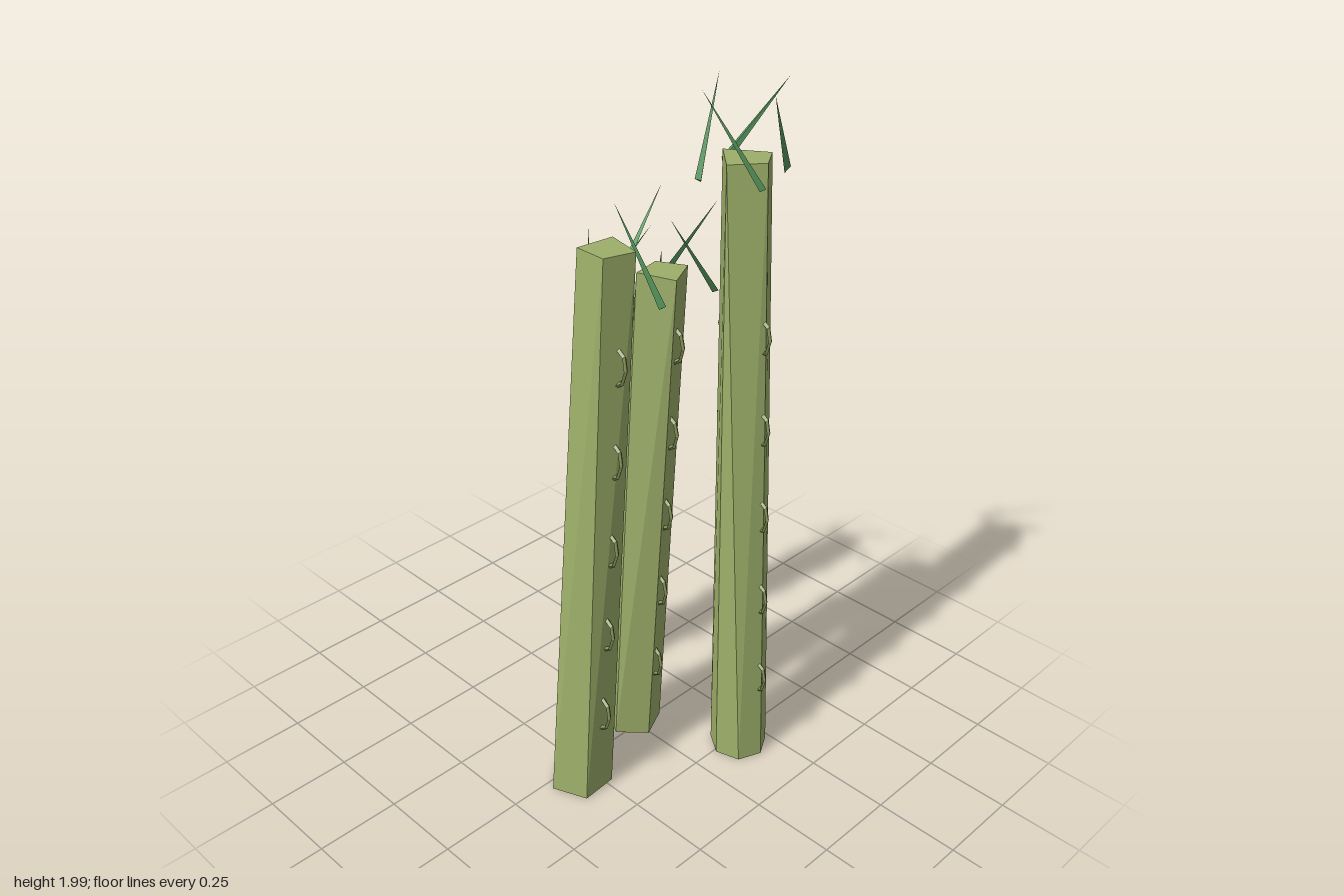
import * as THREE from 'three';
import { ConvexGeometry } from 'three/addons/geometries/ConvexGeometry.js';

const paint = (color) => new THREE.MeshStandardMaterial({ color, flatShading: true });
const stalkMat = paint(0x9cae69);
const budMat = paint(0x87965a);
const leafMat = paint(0x5a9a60);

// base: centre x, z, radius, sides, first angle in degrees; top: four x, z corners
// leaf: base and tip x, z relative to the crown centre
const STALKS = [
  { name: 'frontStalk', height: 1.63, buds: 5, base: [0.05, 0.288, 0.093, 5, 104],
    top: [[-0.02, 0.07], [0.095, 0.1], [0.07, 0.19], [-0.03, 0.185]] },
  { name: 'middleStalk', height: 1.53, buds: 5, base: [-0.03, -0.011, 0.086, 5, 155],
    top: [[0.08, -0.105], [0.13, -0.01], [0.02, 0.025], [0, -0.065]],
    crown: [0.063, -0.037], leaf: [0.097, -0.083, 0.099, 0.087] },
  { name: 'tallStalk', height: 1.8, buds: 5, base: [0.272, -0.165, 0.086, 7, -4],
    top: [[0.16, -0.33], [0.21, -0.255], [0.145, -0.17], [0.05, -0.26]],
    crown: [0.128, -0.255], leaf: [-0.113, -0.05, 0.037, -0.125] },
  { name: 'shortStalk', height: 1.31, buds: 4, base: [-0.28, -0.278, 0.083, 5, -100.6],
    top: [[-0.205, -0.24], [-0.165, -0.14], [-0.27, -0.125], [-0.288, -0.208]],
    crown: [-0.225, -0.172], leaf: [0, -0.128, 0.125, -0.02] },
];

// Leaning, tapering trunk from a many-sided base to a four-cornered top
function trunk({ base, top, height }) {
  const [cx, cz, r, sides, start] = base;
  const points = top.map(([x, z]) => new THREE.Vector3(x, height, z));
  for (let i = 0; i < sides; i++) {
    const a = THREE.MathUtils.degToRad(start) + (i / sides) * Math.PI * 2;
    points.push(new THREE.Vector3(cx + r * Math.cos(a), 0, cz + r * Math.sin(a)));
  }
  const mesh = new THREE.Mesh(new ConvexGeometry(points), stalkMat);
  mesh.name = 'trunk';
  return mesh;
}

// Thin pointed blade from a wide base to a tip
function blade(from, to) {
  const dir = to.clone().sub(from);
  const geometry = new THREE.ConeGeometry(0.015, dir.length(), 3);
  geometry.scale(1, 1, 0.5);
  const mesh = new THREE.Mesh(geometry, leafMat);
  mesh.quaternion.setFromUnitVectors(new THREE.Vector3(0, 1, 0), dir.normalize());
  mesh.position.copy(from).add(to).multiplyScalar(0.5);
  mesh.name = 'leaf';
  return mesh;
}

// Four blades circling the top
function crownLeaves({ crown, leaf, height }) {
  const group = new THREE.Group();
  group.name = 'crownLeaves';
  for (let i = 0; i < 4; i++) {
    const inner = blade(
      new THREE.Vector3(leaf[0], -0.05, leaf[1]),
      new THREE.Vector3(leaf[2], 0.19, leaf[3]));
    const turn = new THREE.Group();
    turn.rotation.y = (i * Math.PI) / 2;
    turn.add(inner);
    group.add(turn);
  }
  group.position.set(crown[0], height, crown[1]);
  return group;
}

// Rows of small looped buds on the left and right sides
function sideBuds({ base, top, height, buds }) {
  const group = new THREE.Group();
  group.name = 'sideBuds';
  const geometry = new THREE.TorusGeometry(0.045, 0.007, 4, 4, Math.PI);
  geometry.rotateZ(-Math.PI / 2);
  geometry.scale(0.7, 1.1, 1);
  const tx = top.reduce((s, p) => s + p[0], 0) / 4;
  const tz = top.reduce((s, p) => s + p[1], 0) / 4;
  for (let i = 0; i < buds; i++) {
    const y = 0.27 + i * 0.265;
    const f = y / height;
    for (const side of [-1, 1]) {
      const bud = new THREE.Mesh(geometry, budMat);
      const reach = THREE.MathUtils.lerp(base[2] * 0.82, 0.054, f);
      bud.position.set(
        THREE.MathUtils.lerp(base[0], tx, f) + side * reach,
        y,
        THREE.MathUtils.lerp(base[1], tz, f));
      bud.rotation.y = side < 0 ? Math.PI : 0;
      bud.rotation.x = side * Math.atan2(tz - base[1], height);
      bud.name = 'bud';
      group.add(bud);
    }
  }
  return group;
}

export function createModel() {
  const model = new THREE.Group();
  model.name = 'stalkCluster';
  for (const spec of STALKS) {
    const stalk = new THREE.Group();
    stalk.name = spec.name;
    stalk.add(trunk(spec), sideBuds(spec));
    if (spec.leaf) stalk.add(crownLeaves(spec));
    model.add(stalk);
  }
  return model;
}
